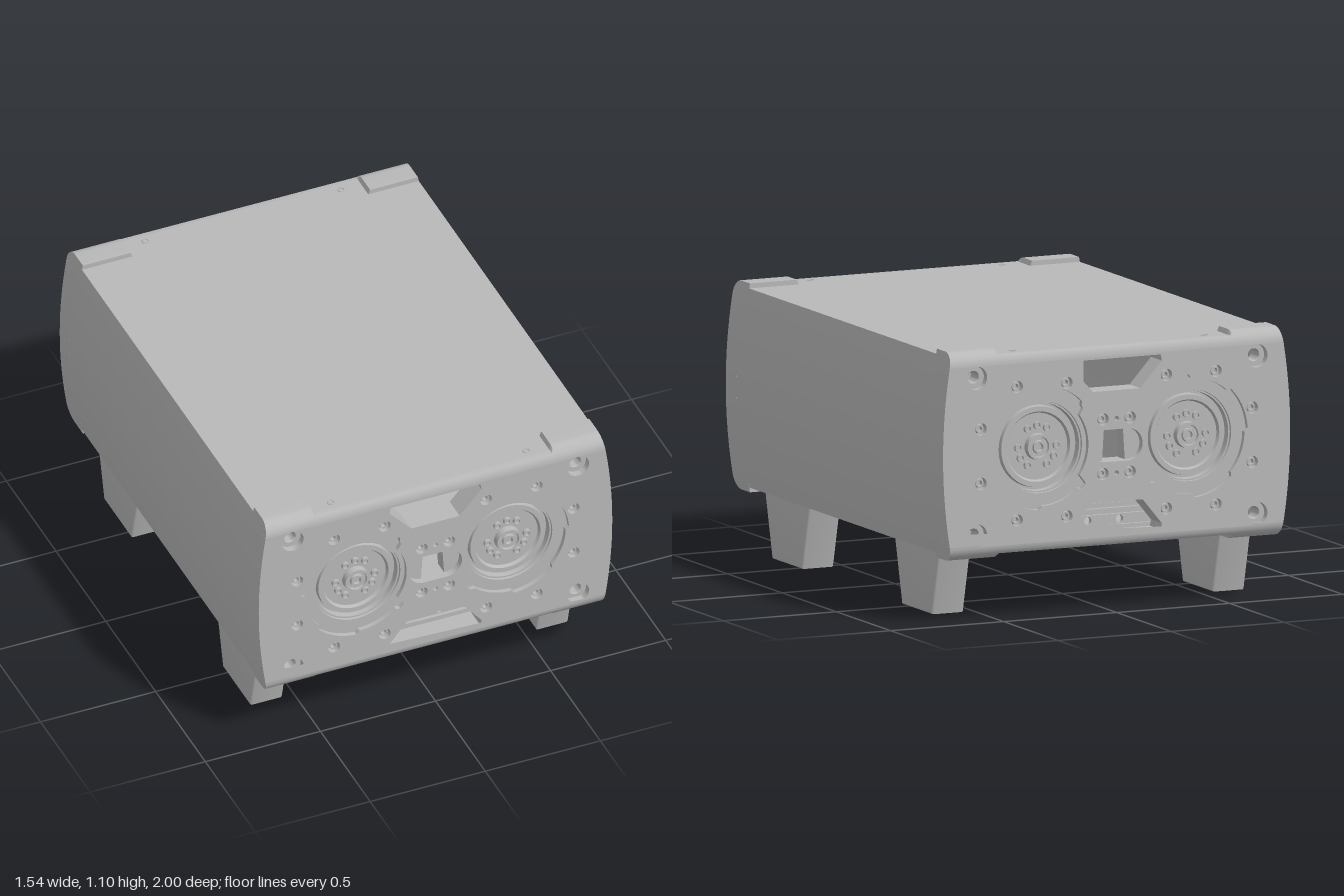
import * as THREE from 'three';
import { toCreasedNormals } from 'three/addons/utils/BufferGeometryUtils.js';

const CY = 0.6775, LIP = 0.4225, FLAT = 0.4025, ROUND = 0.06;

// Casing cross-section: bulged sides, raised lips at the four corners
function outline(lip, mid) {
  const pts = [], n = 14;
  const side = (y) => 0.768 - 0.04 * (y / LIP) ** 2;
  for (let i = 0; i <= n; i++) {
    const y = lip * (2 * i / n - 1);
    pts.push([side(y), y]);
  }
  pts.push([0.52, lip], [0.512, mid], [-0.512, mid], [-0.52, lip]);
  for (let i = 0; i <= n; i++) {
    const y = lip * (1 - 2 * i / n);
    pts.push([-side(y), y]);
  }
  pts.push([-0.52, -lip], [-0.512, -mid], [0.512, -mid], [0.52, -lip]);
  return pts.map(([x, y]) => new THREE.Vector2(x, y + CY));
}

// One continuous shell, lofted from the front rim to the back rim
function casingGeometry() {
  const half = [];
  for (let i = 0; i <= 8; i++) {
    const a = (i / 8) * Math.PI / 2;
    const lip = LIP - ROUND * (1 - Math.sin(a));
    half.push({ z: 1 - ROUND * (1 - Math.cos(a)), lip, mid: Math.min(FLAT, lip) });
  }
  half.push({ z: 0.86, lip: LIP, mid: FLAT }, { z: 0.86, lip: FLAT, mid: FLAT });
  const rows = [...half, ...half.map((r) => ({ ...r, z: -r.z })).reverse()];
  const pos = [], index = [];
  let n = 0;
  for (const r of rows) {
    const pts = outline(r.lip, r.mid);
    n = pts.length;
    for (const p of pts) pos.push(p.x, p.y, r.z);
  }
  for (let k = 0; k < rows.length - 1; k++) {
    for (let i = 0; i < n; i++) {
      const a = k * n + i, b = k * n + (i + 1) % n;
      index.push(a, a + n, b, b, a + n, b + n);
    }
  }
  const g = new THREE.BufferGeometry();
  g.setAttribute('position', new THREE.Float32BufferAttribute(pos, 3));
  g.setIndex(index);
  return toCreasedNormals(g, 0.5);
}

const circle = (x, y, r) => new THREE.Path().absarc(x, y, r, 0, Math.PI * 2, true);
const poly = (pts) => pts.map(([x, y]) => new THREE.Vector2(x, y));

// Turned part whose axis points along z
function turned(profile, segments = 24) {
  const g = new THREE.LatheGeometry(poly(profile), segments);
  g.rotateX(Math.PI / 2);
  return toCreasedNormals(g, 0.5);
}

// Notched recess around each dial, kept clear of the centre window
function dialRecess(s) {
  const pts = [];
  for (let a = 0; a < 360; a += 3) {
    const off = Math.min(a, 360 - a);
    const r = off < 39 ? 0.205 : (Math.floor(a / 45) % 2 ? 0.25 : 0.235);
    const t = a * Math.PI / 180;
    pts.push(new THREE.Vector2(s * (0.33 - r * Math.cos(t)), 0.69 + r * Math.sin(t)));
  }
  return pts;
}

export function createModel() {
  const model = new THREE.Group();
  model.name = 'twinDialCase';
  const grey = new THREE.MeshStandardMaterial({ color: 0xb8b8b8, side: THREE.DoubleSide });
  grey.name = 'grey';

  function add(parent, name, geometry, x = 0, y = 0, z = 0) {
    const m = new THREE.Mesh(geometry, grey);
    m.name = name;
    m.position.set(x, y, z);
    parent.add(m);
    return m;
  }
  const extrude = (shape, depth) =>
    new THREE.ExtrudeGeometry(shape, { depth, bevelEnabled: false, curveSegments: 20 });

  add(model, 'casing', casingGeometry());

  // End panel with all of its openings
  const end = new THREE.Group();
  end.name = 'frontEnd';
  const screws = [], corners = [];
  for (const s of [-1, 1]) {
    for (const [x, y] of [[0.44, 0.945], [0.22, 0.945], [0.6, 0.785], [0.06, 0.785],
      [0.6, 0.565], [0.06, 0.565], [0.44, 0.405], [0.22, 0.405]]) screws.push([s * x, y]);
    corners.push([s * 0.62, 0.993], [s * 0.62, 0.355]);
  }
  const panel = new THREE.Shape(outline(LIP - ROUND, LIP - ROUND));
  panel.holes.push(
    new THREE.Path(poly([[-0.195, 1.03], [0.195, 1.03], [0.2, 1.005], [0.105, 0.9], [-0.105, 0.9], [-0.2, 1.005]])),
    new THREE.Path(poly([[-0.195, 0.322], [0.195, 0.322], [0.2, 0.347], [0.115, 0.45], [-0.115, 0.45], [-0.2, 0.347]])),
    new THREE.Path().absarc(0.05, 0.677, 0.065, -Math.PI / 2, Math.PI / 2, false)
      .absarc(-0.05, 0.677, 0.065, Math.PI / 2, Math.PI * 1.5, false),
    circle(0, 0.785, 0.01), circle(0, 0.565, 0.01),
    ...screws.map(([x, y]) => circle(x, y, 0.025)),
    ...corners.map(([x, y]) => circle(x, y, 0.047)),
    new THREE.Path(dialRecess(1)), new THREE.Path(dialRecess(-1)));
  add(end, 'endPanel', toCreasedNormals(extrude(panel, 0.1), 0.5), 0, 0, 0.9);

  // Recessed fasteners
  const screw = turned([[0, -0.03], [0.009, -0.03], [0.011, -0.012], [0.017, -0.012], [0.019, -0.03], [0.025, -0.03]], 16);
  for (const [x, y] of screws) add(end, 'screw', screw, x, y, 1);
  const bushing = turned([[0.047, -0.03], [0.026, -0.03], [0.023, -0.034], [0.023, -0.1]]);
  for (const [x, y] of corners) add(end, 'cornerBushing', bushing, x, y, 1);

  // Dials
  const dial = turned([[0, -0.035], [0.014, -0.035], [0.016, -0.022], [0.026, -0.022], [0.028, -0.032],
    [0.04, -0.032], [0.042, -0.022], [0.052, -0.022], [0.054, -0.05], [0.135, -0.05], [0.142, -0.037],
    [0.163, -0.037], [0.166, -0.06], [0.176, -0.06], [0.178, -0.03], [0.185, -0.03], [0.187, -0.02]], 48);
  const bolt = turned([[0, -0.045], [0.009, -0.045], [0.01, -0.035], [0.016, -0.035], [0.016, -0.05]], 16);
  for (const s of [-1, 1]) {
    const x = s * 0.33, y = 0.69;
    const floor = new THREE.Shape(dialRecess(s));
    floor.holes.push(circle(x, y, 0.186));
    add(end, 'dialRecessFloor', new THREE.ShapeGeometry(floor, 24), 0, 0, 0.98);
    add(end, 'dial', dial, x, y, 1);
    for (const deg of [0, 60, 90, 120, 180, 210, 240, 300, 330]) {
      const a = deg * Math.PI / 180;
      add(end, 'dialBolt', bolt, x + 0.085 * Math.cos(a), y + 0.085 * Math.sin(a), 1);
    }
    // Half-round pad beside the centre window
    const pad = new THREE.Shape();
    pad.moveTo(s * 0.042, 0.612);
    pad.absarc(s * 0.05, 0.677, 0.065, -Math.PI / 2, s > 0 ? Math.PI / 2 : -Math.PI * 1.5, s < 0);
    pad.lineTo(s * 0.042, 0.742);
    add(end, 'windowPad', extrude(pad, 0.06), 0, 0, 0.91);
  }

  // Stepped bracket behind the lower opening
  const bracket = new THREE.Shape(poly([[-0.22, 0.337], [0.22, 0.337], [0.22, 0.378], [-0.22, 0.378]]));
  bracket.holes.push(circle(-0.07, 0.357, 0.016), circle(0.07, 0.357, 0.016));
  add(end, 'bracket', extrude(bracket, 0.02), 0, 0, 0.86);
  for (const [y0, y1, z] of [[0.29, 0.337, 0.88], [0.378, 0.4, 0.85], [0.4, 0.42, 0.83]]) {
    add(end, 'bracketStep', new THREE.BoxGeometry(0.44, y1 - y0, 0.03), 0, (y0 + y1) / 2, z);
  }

  // Small screws in the top and bottom skins
  const skinScrew = new THREE.TorusGeometry(0.013, 0.003, 6, 20).rotateX(Math.PI / 2);
  for (const s of [-1, 1]) {
    for (const t of [-1, 1]) add(end, 'skinScrew', skinScrew, s * 0.425, CY + t * FLAT, 0.93);
  }
  model.add(end);
  const back = end.clone();
  back.name = 'backEnd';
  back.rotation.y = Math.PI;
  model.add(back);

  // Tapered feet with softened edges
  const b = 0.008;
  const footShape = new THREE.Shape(poly([[-0.14 + b, 0.003 + b], [0.14 - b, 0.003 + b], [0.21 - b, 0.285], [-0.21 + b, 0.285]]));
  const footGeo = new THREE.ExtrudeGeometry(footShape, {
    depth: 0.14 - 2 * b, bevelEnabled: true, bevelSize: b, bevelThickness: b, bevelSegments: 3 });
  footGeo.translate(0, 0, -0.07 + b);
  footGeo.rotateY(Math.PI / 2);
  const foot = toCreasedNormals(footGeo, 0.6);
  for (const sx of [-1, 1]) {
    for (const sz of [-1, 1]) {
      const g = new THREE.Group();
      g.name = 'foot';
      g.position.set(sx * 0.621, 0, sz * 0.597);
      add(g, 'footBlock', foot);
      for (const [z, r] of [[-0.08, 0.026], [0, 0.012], [0.08, 0.026]]) {
        add(g, 'footHoleRim', new THREE.TorusGeometry(r, 0.003, 6, 20).rotateX(Math.PI / 2), 0, 0.003, z);
      }
      model.add(g);
    }
  }
  return model;
}
